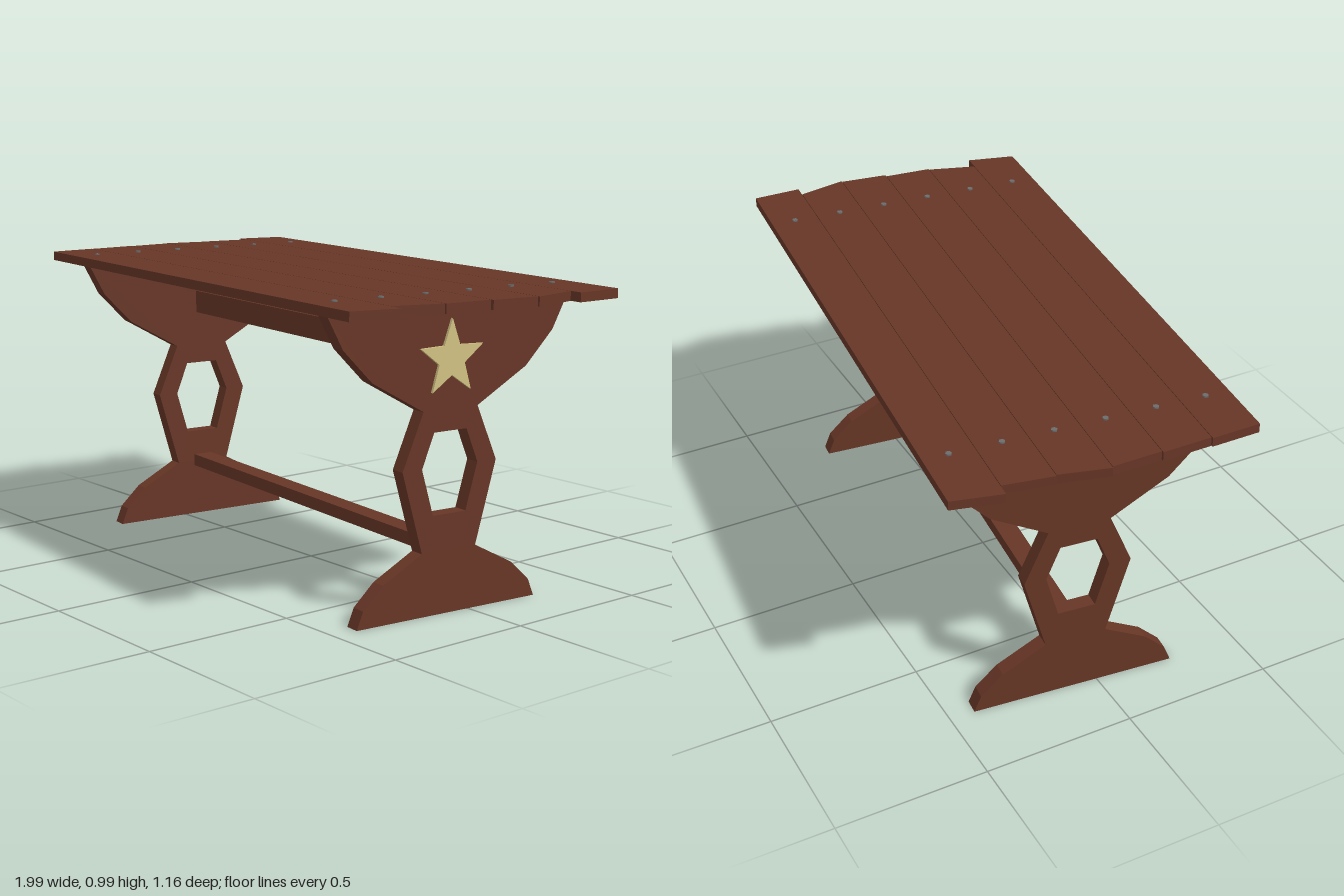
import * as THREE from 'three';

const wood = new THREE.MeshStandardMaterial({ name: 'brownWood', color: 0x673626 });
const gold = new THREE.MeshStandardMaterial({ name: 'paleGold', color: 0xd2c283 });
const steel = new THREE.MeshStandardMaterial({ name: 'greySteel', color: 0x6c6c6c });

const LEG_U = [-0.764, 0.743];
const LEG_T = 0.05;

// Closed symmetric polygon from [halfWidth, y] points running upward
function mirrored(half, Type) {
  const pts = [
    ...half.map(([w, y]) => new THREE.Vector2(w, y)),
    ...half.slice().reverse().map(([w, y]) => new THREE.Vector2(-w, y)),
  ];
  return new Type(pts);
}

function add(parent, name, geometry, material, x = 0, y = 0, z = 0) {
  const mesh = new THREE.Mesh(geometry, material);
  mesh.name = name;
  mesh.position.set(x, y, z);
  parent.add(mesh);
  return mesh;
}

const extrude = (shape, depth) =>
  new THREE.ExtrudeGeometry(shape, { depth, bevelEnabled: false });

export function createModel() {
  const group = new THREE.Group();
  group.name = 'trestleTable';
  const table = new THREE.Group();
  table.name = 'table';
  table.rotation.y = -0.1; // the table stands slightly askew
  group.add(table);

  // Trestle legs: carved board with a hexagonal cut-out
  const legShape = mirrored([
    [0.34, 0], [0.317, 0.056], [0.245, 0.124], [0.102, 0.2], [0.177, 0.462],
    [0.102, 0.638], [0.289, 0.743], [0.392, 0.848], [0.451, 0.958],
  ], THREE.Shape);
  legShape.holes.push(mirrored([[0.062, 0.314], [0.105, 0.462], [0.061, 0.571]], THREE.Path));
  const legGeo = extrude(legShape, LEG_T).translate(0, 0, -LEG_T / 2).rotateY(Math.PI / 2);
  add(table, 'rightLeg', legGeo, wood, LEG_U[0]);
  add(table, 'leftLeg', legGeo, wood, LEG_U[1]);

  // Stretchers between the legs
  const span = LEG_U[1] - LEG_U[0] - LEG_T + 0.01;
  const mid = (LEG_U[0] + LEG_U[1]) / 2;
  add(table, 'upperStretcher', new THREE.BoxGeometry(span, 0.079, 0.04), wood, mid, 0.797, 0);
  add(table, 'lowerStretcher', new THREE.BoxGeometry(span, 0.042, 0.07), wood, mid, 0.204, 0);

  // Table top planks with uneven ends: [left back, left front, right back, right front]
  const ends = [
    [-0.973, -0.998, 0.956, 0.969],
    [-0.957, -0.972, 0.926, 0.973],
    [-0.967, -0.994, 0.968, 0.961],
    [-0.988, -0.972, 0.951, 0.95],
    [-0.978, -0.962, 0.945, 0.909],
    [-0.967, -0.951, 0.963, 0.936],
  ];
  const nailGeo = new THREE.CylinderGeometry(0.01, 0.01, 0.01, 6);
  ends.forEach(([lb, lf, rb, rf], i) => {
    const w = (i - 2.5) * 0.1625;
    const h = 0.0803;
    const shape = new THREE.Shape([
      new THREE.Vector2(lf, -h), new THREE.Vector2(rf, -h),
      new THREE.Vector2(rb, h), new THREE.Vector2(lb, h),
    ]);
    add(table, 'plank', extrude(shape, 0.03).rotateX(-Math.PI / 2), wood, 0, 0.958, w);
    LEG_U.forEach((u) => add(table, 'nail', nailGeo, steel, u, 0.988, w));
  });

  // Five-pointed star on the outside of the left leg
  const star = new THREE.Shape();
  for (let i = 0; i < 10; i++) {
    const r = i % 2 ? 0.05 : 0.122;
    const a = Math.PI / 2 + (i * Math.PI) / 5;
    star[i ? 'lineTo' : 'moveTo'](r * Math.cos(a), r * Math.sin(a));
  }
  star.closePath();
  const starGeo = extrude(star, 0.009).rotateY(Math.PI / 2);
  add(table, 'star', starGeo, gold, LEG_U[1] + LEG_T / 2, 0.792, 0.004);

  return group;
}
